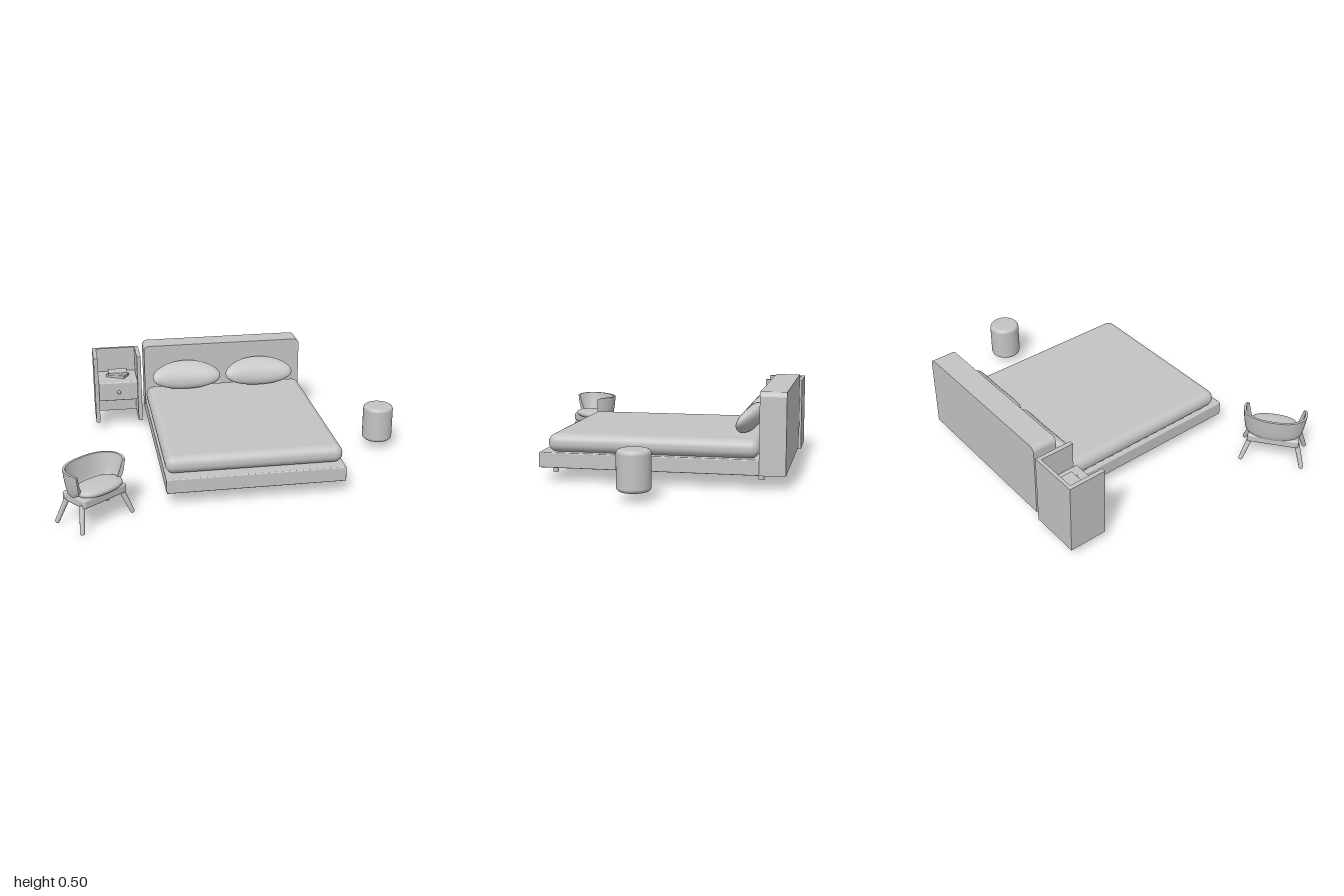
import * as THREE from 'three';
import { RoundedBoxGeometry } from 'three/addons/geometries/RoundedBoxGeometry.js';

const grey = new THREE.MeshStandardMaterial({ color: 0xc4c4c4 });
grey.name = 'plain grey';

function add(parent, name, geometry, x = 0, y = 0, z = 0) {
  const mesh = new THREE.Mesh(geometry, grey);
  mesh.name = name;
  mesh.position.set(x, y, z);
  parent.add(mesh);
  return mesh;
}

function group(parent, name) {
  const g = new THREE.Group();
  g.name = name;
  parent.add(g);
  return g;
}

// Box given by its minimum and maximum corners, with optional rounding
function block(parent, name, [x0, y0, z0], [x1, y1, z1], radius = 0) {
  const size = [x1 - x0, y1 - y0, z1 - z0];
  const geo = radius ? new RoundedBoxGeometry(...size, 5, radius) : new THREE.BoxGeometry(...size);
  return add(parent, name, geo, (x0 + x1) / 2, (y0 + y1) / 2, (z0 + z1) / 2);
}

// Move every vertex by a rule
function deform(geo, rule) {
  const p = geo.attributes.position;
  const v = new THREE.Vector3();
  for (let i = 0; i < p.count; i++) {
    rule(v.fromBufferAttribute(p, i));
    p.setXYZ(i, v.x, v.y, v.z);
  }
  geo.computeVertexNormals();
  return geo;
}

function createBed(root) {
  const bed = group(root, 'bed');
  block(bed, 'bedBase', [-0.417, 0.075, -0.64], [0.555, 0.157, 0.53], 0.006);
  block(bed, 'mattress', [-0.413, 0.157, -0.638], [0.55, 0.255, 0.485], 0.046);

  // Headboard with rounded upper corners
  const x0 = -0.417, x1 = 0.555, y0 = 0.075, y1 = 0.505, r = 0.03;
  const s = new THREE.Shape();
  s.moveTo(x0, y0);
  s.lineTo(x1, y0);
  s.lineTo(x1, y1 - r);
  s.absarc(x1 - r, y1 - r, r, 0, Math.PI / 2, false);
  s.lineTo(x0 + r, y1);
  s.absarc(x0 + r, y1 - r, r, Math.PI / 2, Math.PI, false);
  s.closePath();
  const board = new THREE.ExtrudeGeometry(s, { depth: 0.137, bevelEnabled: false, curveSegments: 8 });
  add(bed, 'headboard', board, 0, 0, -0.777);

  // Pillows lean back, with their ends curving forward
  for (const x of [-0.17, 0.28]) {
    const geo = new THREE.SphereGeometry(1, 40, 24);
    geo.scale(0.208, 0.09, 0.05);
    geo.rotateX(-0.61);
    deform(geo, (v) => { v.z += 0.04 * (v.x / 0.208) ** 2; });
    add(bed, 'pillow', geo, x, 0.336, -0.57);
  }

  for (const x of [-0.372, 0.494])
    for (const z of [-0.648, 0.453])
      add(bed, 'bedFoot', new THREE.CylinderGeometry(0.015, 0.015, 0.032, 20), x, 0.061, z);
}

function createNightstand(root) {
  const stand = group(root, 'nightstand');
  block(stand, 'backPanel', [-0.729, 0.05, -0.787], [-0.444, 0.465, -0.767]);
  block(stand, 'sidePanel', [-0.729, 0.05, -0.767], [-0.705, 0.465, -0.572]);
  block(stand, 'sidePanel', [-0.468, 0.05, -0.767], [-0.444, 0.465, -0.572]);
  block(stand, 'drawer', [-0.705, 0.197, -0.77], [-0.468, 0.315, -0.551], 0.008);
  add(stand, 'knobStem', new THREE.CylinderGeometry(0.005, 0.005, 0.014, 12).rotateX(Math.PI / 2), -0.585, 0.255, -0.546);
  add(stand, 'knob', new THREE.SphereGeometry(0.011, 20, 14), -0.585, 0.255, -0.538);

  // Two stacked books turned apart
  const lower = add(stand, 'book', new THREE.BoxGeometry(0.12, 0.016, 0.075), -0.583, 0.324, -0.667);
  lower.rotation.y = -0.5;
  add(stand, 'book', new THREE.BoxGeometry(0.115, 0.016, 0.08), -0.583, 0.341, -0.667);
}

function createPouf(root) {
  const r = 0.087, c = 0.022, y0 = 0.048, y1 = 0.257;
  const profile = [new THREE.Vector2(0, y0)];
  for (let i = 0; i <= 6; i++) {
    const a = (i / 6) * Math.PI / 2;
    profile.push(new THREE.Vector2(r - c + c * Math.sin(a), y0 + c - c * Math.cos(a)));
  }
  for (let i = 0; i <= 6; i++) {
    const a = (i / 6) * Math.PI / 2;
    profile.push(new THREE.Vector2(r - c + c * Math.cos(a), y1 - c + c * Math.sin(a)));
  }
  profile.push(new THREE.Vector2(0, y1));
  add(root, 'pouf', new THREE.LatheGeometry(profile, 48), 0.91, 0, -0.07);
}

function createChair(root) {
  const chair = group(root, 'armchair');
  chair.position.set(-0.795, 0, 0.587);
  chair.rotation.y = 0.66;

  // Splayed tapering legs
  for (const sx of [-1, 1])
    for (const sz of [-1, 1]) {
      const foot = new THREE.Vector3(sx * 0.168, 0.014, sz * 0.098);
      const top = new THREE.Vector3(sx * 0.128, 0.14, sz * 0.06);
      const dir = top.clone().sub(foot);
      const mid = foot.clone().add(top).multiplyScalar(0.5);
      const leg = add(chair, 'chairLeg', new THREE.CylinderGeometry(0.015, 0.012, dir.length(), 16), mid.x, mid.y, mid.z);
      leg.quaternion.setFromUnitVectors(new THREE.Vector3(0, 1, 0), dir.normalize());
      add(chair, 'legTip', new THREE.SphereGeometry(0.0122, 16, 10), foot.x, foot.y, foot.z);
    }

  block(chair, 'seatFrame', [-0.137, 0.126, -0.088], [0.145, 0.176, 0.09], 0.012);

  // Seat cushion: a squarish flattened ellipsoid
  const power = (t, e) => Math.sign(t) * Math.abs(t) ** e;
  const cushion = deform(new THREE.SphereGeometry(1, 40, 20), (v) => {
    const h = Math.hypot(v.x, v.z) || 1;
    const ring = power(h, 0.6) / h;
    v.set(0.137 * power(v.x / h, 0.8) * ring * h, 0.024 * power(v.y, 0.8), 0.085 * power(v.z / h, 0.8) * ring * h);
  });
  add(chair, 'seatCushion', cushion, 0.012, 0.186, 0.022);

  // Wraparound back: a slab bent round the seat, flaring upward
  const shell = deform(new THREE.BoxGeometry(1, 1, 1, 40, 8, 2), (v) => {
    const a = v.x * 4.0;
    const end = Math.abs(v.x * 2) ** 8;
    const t = v.y + 0.5;
    const thick = 0.026 * (1 - 0.5 * t);
    const flare = 0.028 * Math.sqrt(t);
    const inset = (v.z + 0.5) * thick;
    const A = 0.147 + flare - inset, B = 0.09 + flare - inset;
    const y0 = 0.163 + 0.03 * end;
    v.set(0.01 + A * power(Math.sin(a), 0.85), y0 + (0.305 - 0.012 * end - y0) * t, -B * power(Math.cos(a), 0.9));
  });
  add(chair, 'chairBack', shell);
}

export function createModel() {
  const root = new THREE.Group();
  root.name = 'bedroomSet';
  createBed(root);
  createNightstand(root);
  createPouf(root);
  createChair(root);
  return root;
}
